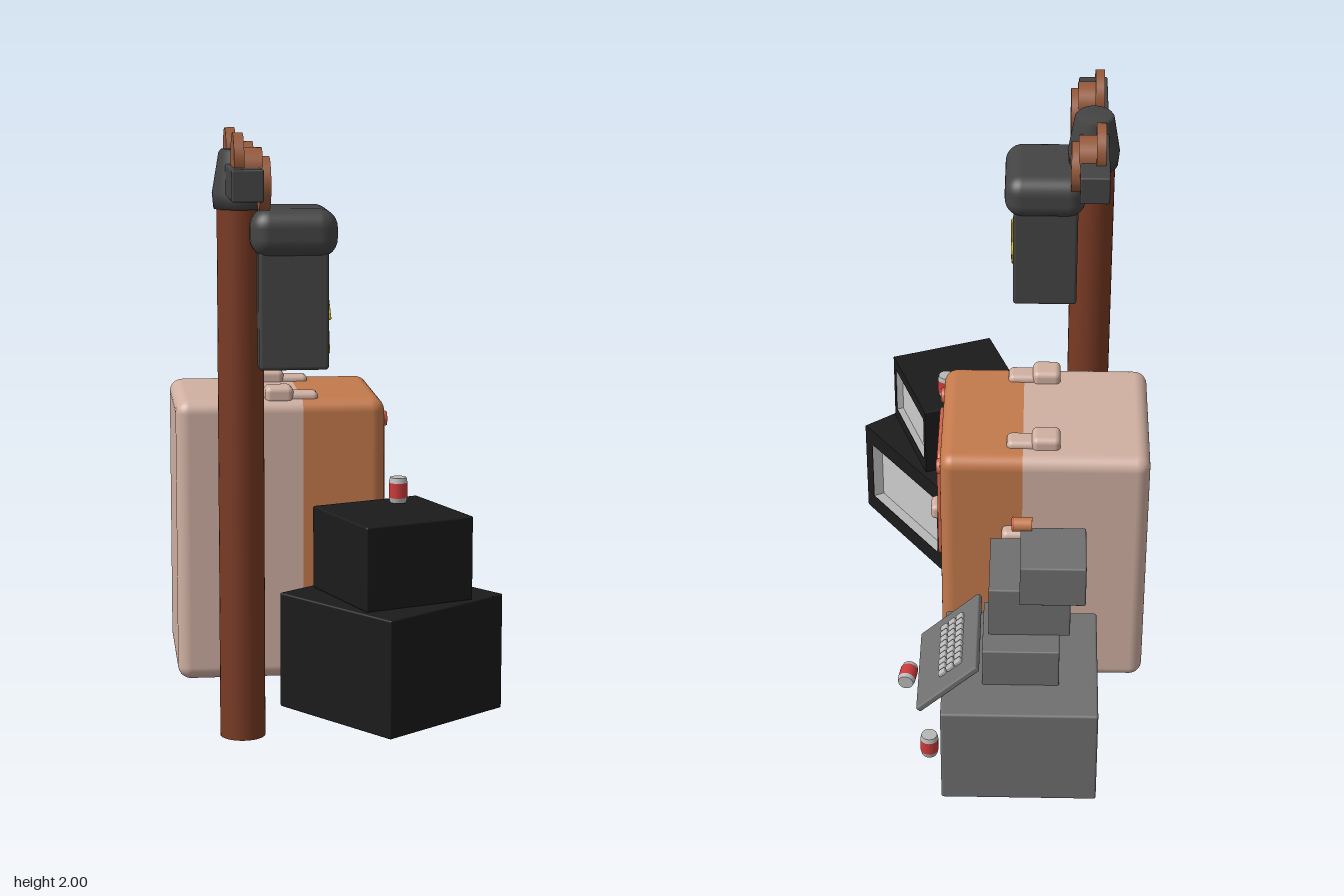
import * as THREE from 'three';
import { RoundedBoxGeometry } from 'three/addons/geometries/RoundedBoxGeometry.js';

const mat = (color, extra = {}) => new THREE.MeshStandardMaterial({ color, ...extra });
const M = {
  rust: mat(0x7a3a24), copper: mat(0x96593a), iron: mat(0x444444),
  pale: mat(0xd0b0a2), orange: mat(0xc47a4c), red: mat(0xcc6045), glass: mat(0xb4b2a6),
  black: mat(0x1b1b1b), grey: mat(0x707070), key: mat(0xb8b8b8), canRed: mat(0xcc3a3a),
  screen: mat(0xc4c4c4), bezel: mat(0xa8a8a8, { flatShading: true, side: THREE.DoubleSide }),
  yellow: mat(0xd8b820),
};

function add(parent, name, geo, material, x = 0, y = 0, z = 0) {
  const mesh = new THREE.Mesh(geo, material);
  mesh.name = name;
  mesh.position.set(x, y, z);
  parent.add(mesh);
  return mesh;
}

// Box given by its limits; r > 0 rounds the edges
function box(parent, name, m, x0, x1, y0, y1, z0, z1, r = 0) {
  const s = [x1 - x0, y1 - y0, z1 - z0];
  const geo = r ? new RoundedBoxGeometry(...s, 4, r) : new THREE.BoxGeometry(...s);
  return add(parent, name, geo, m, (x0 + x1) / 2, (y0 + y1) / 2, (z0 + z1) / 2);
}

function group(parent, name, x = 0, y = 0, z = 0) {
  const g = new THREE.Group();
  g.name = name;
  g.position.set(x, y, z);
  parent.add(g);
  return g;
}

function roundRect(path, w, h, r) {
  const a = w / 2, b = h / 2;
  path.moveTo(-a + r, -b);
  path.lineTo(a - r, -b).quadraticCurveTo(a, -b, a, -b + r);
  path.lineTo(a, b - r).quadraticCurveTo(a, b, a - r, b);
  path.lineTo(-a + r, b).quadraticCurveTo(-a, b, -a, b - r);
  path.lineTo(-a, -b + r).quadraticCurveTo(-a, -b, -a + r, -b);
  return path;
}

// Rectangular ring lying in the zy plane, facing +x
function ringGeo(w, h, iw, ih, depth, r, ir, bevel = 0) {
  const shape = roundRect(new THREE.Shape(), w, h, r);
  shape.holes.push(roundRect(new THREE.Path(), iw, ih, ir));
  return new THREE.ExtrudeGeometry(shape, {
    depth, bevelEnabled: bevel > 0, bevelSize: bevel, bevelThickness: bevel, bevelSegments: 3,
  }).rotateY(Math.PI / 2);
}

// Television with a sunken screen on +x, standing on its origin
function television(parent, name, m, d, h, w, sw, sh, sink = 0.025) {
  const tv = group(parent, name);
  add(tv, 'casing', new RoundedBoxGeometry(d - sink, h, w, 2, 0.006), m, -sink / 2, h / 2, 0);
  add(tv, 'screenRim', ringGeo(w, h, sw, sh, sink + 0.008, 0.006, 0.003), m, d / 2 - sink - 0.008, h / 2, 0);
  const slope = new THREE.CylinderGeometry(Math.SQRT1_2, 0.64, 1, 4, 1, true).rotateY(Math.PI / 4).rotateZ(-Math.PI / 2);
  add(tv, 'screenSurround', slope, M.bezel, d / 2 - sink / 2, h / 2, 0).scale.set(sink - 0.004, sh, sw);
  add(tv, 'screen', new THREE.BoxGeometry(0.006, sh, sw), M.screen, d / 2 - sink, h / 2, 0);
  return tv;
}

function can(parent, name, x, y, z, rx = 0, rz = 0) {
  const g = group(parent, name, x, y, z);
  g.rotation.set(rx, 0, rz);
  add(g, 'label', new THREE.CylinderGeometry(0.031, 0.031, 0.05, 20), M.canRed);
  for (const s of [-1, 1]) {
    add(g, 'canEnd', new THREE.CylinderGeometry(s > 0 ? 0.027 : 0.031, s > 0 ? 0.031 : 0.027, 0.017, 20), M.key, 0, s * 0.0335, 0);
  }
  return g;
}

function utilityPole(root) {
  const g = group(root, 'utilityPole', -0.325, 0, 0.485);
  add(g, 'pole', new THREE.CylinderGeometry(0.075, 0.075, 1.78, 32), M.rust, 0, 0.89, 0);
  const cap = [[0, 1.75], [0.085, 1.75], [0.09, 1.8], [0.068, 1.93], [0.06, 1.94], [0, 1.94]];
  add(g, 'poleCap', new THREE.LatheGeometry(cap.map((p) => new THREE.Vector2(...p)), 32), M.iron);
  box(g, 'crossArm', M.iron, -0.05, 0.05, 1.795, 1.895, -0.355, 0.355, 0.006);
  // Tilted stacks of discs on each end of the arm
  for (const s of [-1, 1]) {
    const stack = group(g, 'insulator', 0, 0, s * 0.188);
    for (const [r, t, x, y] of [[0.085, 0.032, -0.02, 1.915], [0.07, 0.07, 0.02, 1.885], [0.085, 0.034, 0.062, 1.842]]) {
      add(stack, 'insulatorDisc', new THREE.CylinderGeometry(r, r, t, 32), M.copper, x, y, 0).rotation.z = -Math.PI / 2;
    }
  }
}

function transformer(root) {
  const g = group(root, 'transformer');
  box(g, 'transformerBody', M.iron, -0.275, -0.05, 1.24, 1.66, 0.36, 0.615, 0.012);
  box(g, 'transformerLid', M.iron, -0.3, -0.02, 1.6, 1.755, 0.33, 0.645, 0.06);
  // Outline of the warning bolt
  const pts = [[0.40, 1.565], [0.60, 1.405], [0.52, 1.40], [0.56, 1.29], [0.375, 1.445], [0.455, 1.445]]
    .map(([z, y]) => new THREE.Vector3(-0.048, y, z));
  pts.forEach((p, i) => {
    const q = pts[(i + 1) % pts.length];
    add(g, 'boltLine', new THREE.TubeGeometry(new THREE.LineCurve3(p, q), 1, 0.006, 8), M.yellow);
    add(g, 'boltCorner', new THREE.SphereGeometry(0.006, 8, 6), M.yellow, p.x, p.y, p.z);
  });
}

function cabinet(root) {
  const g = group(root, 'cabinet', -0.17, 0.595, -0.065);
  // One rounded box, cut at the seam into a rear shell and a door half
  const seam = 0.075;
  for (const [name, m, clamp] of [['rearShell', M.pale, Math.min], ['doorShell', M.orange, Math.max]]) {
    const geo = new RoundedBoxGeometry(0.71, 0.97, 0.56, 6, 0.045);
    const p = geo.attributes.position;
    for (let i = 0; i < p.count; i++) p.setX(i, clamp(p.getX(i), seam));
    add(g, name, geo, m);
  }

  const d = group(root, 'doorFittings');
  for (const y of [0.165, 1.0]) for (const z of [-0.27, 0.14]) {
    add(d, 'doorBolt', new THREE.CylinderGeometry(0.024, 0.03, 0.016, 24), M.red, 0.19, y, z).rotation.z = -Math.PI / 2;
  }
  add(d, 'windowFrame', ringGeo(0.31, 0.43, 0.285, 0.405, 0.008, 0.05, 0.04, 0.009), M.red, 0.182, 0.78, -0.065);
  box(d, 'windowPane', M.glass, 0.17, 0.189, 0.575, 0.985, -0.21, 0.08);
  add(d, 'windowSeal', ringGeo(0.3, 0.42, 0.272, 0.39, 0.008, 0.05, 0.035), M.orange, 0.182, 0.78, -0.065);
  box(d, 'lowerPane', M.glass, 0.17, 0.188, 0.24, 0.365, -0.197, 0.075);
  box(d, 'handleBase', M.red, 0.165, 0.216, 0.41, 0.555, 0.05, 0.182, 0.025);
  box(d, 'handleKnob', M.pale, 0.19, 0.24, 0.485, 0.545, 0.075, 0.155, 0.018);

  // Hinges on the top and on the back side
  for (const z of [-0.237, 0.148]) {
    box(d, 'topHingeBlock', M.pale, -0.222, -0.125, 1.06, 1.122, z - 0.045, z + 0.045, 0.02);
    box(d, 'topHingeTab', M.pale, -0.15, -0.04, 1.06, 1.102, z - 0.036, z + 0.036, 0.018);
  }
  for (const y of [0.31, 0.76]) {
    box(d, 'sideHingeBlock', M.pale, -0.125, -0.025, y - 0.045, y + 0.045, -0.39, -0.33, 0.02);
    box(d, 'sideHingeTab', M.pale, -0.207, -0.1, y - 0.036, y + 0.036, -0.372, -0.33, 0.018);
  }
}

function blackTelevisions(root) {
  const lower = television(root, 'lowerTelevision', M.black, 0.515, 0.385, 0.515, 0.43, 0.25, 0.035);
  lower.position.set(0.155, 0.11, 0.59);
  lower.rotation.y = 0.655;
  const upper = television(root, 'upperTelevision', M.black, 0.385, 0.275, 0.385, 0.34, 0.185);
  upper.position.set(0.157, 0.495, 0.593);
  upper.rotation.y = 0.358;
  can(root, 'canOnTelevision', 0.195, 0.815, 0.465);
}

function greyStack(root) {
  const g = group(root, 'greyStack');
  box(g, 'largeCrate', M.grey, -0.355, 0.165, 0.12, 0.5, -0.96, -0.44, 0.008);
  box(g, 'smallCrate', M.grey, -0.225, 0.03, 0.495, 0.645, -0.81, -0.555, 0.005);
  television(g, 'middleMonitor', M.grey, 0.27, 0.195, 0.275, 0.235, 0.14).position.set(-0.125, 0.64, -0.585);
  television(g, 'topMonitor', M.grey, 0.215, 0.155, 0.215, 0.175, 0.1).position.set(-0.2, 0.837, -0.69);

  // Keyboard leaning on the crate edge
  const k = group(g, 'keyboard', 0.143, 0.537, -0.693);
  k.rotation.z = -0.76;
  add(k, 'keyboardPlate', new RoundedBoxGeometry(0.275, 0.022, 0.375, 2, 0.006), M.grey);
  for (let r = 0; r < 3; r++) for (let c = 0; c < 9; c++) {
    add(k, 'key', new RoundedBoxGeometry(0.03, 0.02, 0.023, 1, 0.005), M.key, -0.059 + r * 0.036, 0.014, (c - 4) * 0.028 + 0.008);
  }

  // Small lens on the top monitor
  const lens = group(g, 'lens', -0.098, 1.003, -0.582);
  lens.rotation.z = -Math.PI / 2;
  add(lens, 'lensBarrel', new THREE.CylinderGeometry(0.024, 0.024, 0.064, 20), M.orange);
  add(lens, 'lensRing', new THREE.TorusGeometry(0.019, 0.006, 8, 24).rotateX(Math.PI / 2), M.red, 0, 0.03, 0);

  can(g, 'fallenCan', 0.307, 0.155, -0.393, Math.PI / 2, 0.15);
  can(g, 'standingCan', 0.215, 0.155, -0.738);
}

export function createModel() {
  const root = new THREE.Group();
  root.name = 'streetScrapStack';
  for (const build of [utilityPole, transformer, cabinet, blackTelevisions, greyStack]) build(root);
  return root;
}
